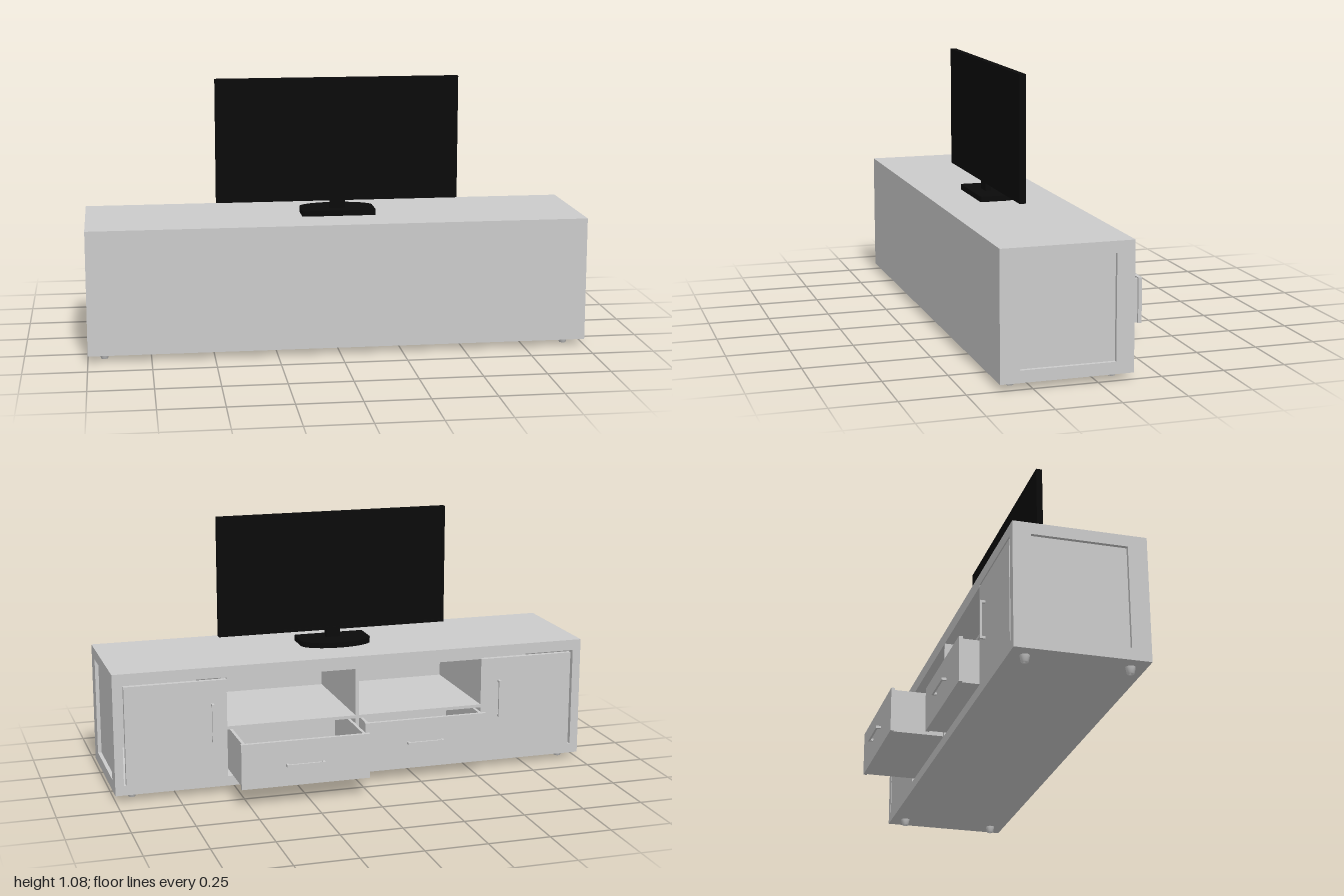
import * as THREE from 'three';

const wood = new THREE.MeshStandardMaterial({ color: 0xcccccc, side: THREE.DoubleSide });
const black = new THREE.MeshStandardMaterial({ color: 0x0a0a0a });

function add(parent, name, geometry, material = wood) {
  const mesh = new THREE.Mesh(geometry, material);
  mesh.name = name;
  parent.add(mesh);
  return mesh;
}

// Box given by its lower and upper corner
function box(parent, name, [x0, y0, z0], [x1, y1, z1], material = wood) {
  const mesh = add(parent, name, new THREE.BoxGeometry(x1 - x0, y1 - y0, z1 - z0), material);
  mesh.position.set((x0 + x1) / 2, (y0 + y1) / 2, (z0 + z1) / 2);
  return mesh;
}

// Flat rectangular frame in the xy plane, extruded along +z
function frame(a0, b0, a1, b1, hole, depth) {
  const rect = (P, x0, y0, x1, y1) => new P().moveTo(x0, y0).lineTo(x1, y0).lineTo(x1, y1).lineTo(x0, y1).closePath();
  const shape = rect(THREE.Shape, a0, b0, a1, b1);
  shape.holes.push(rect(THREE.Path, ...hole));
  return new THREE.ExtrudeGeometry(shape, { depth, bevelEnabled: false });
}

// Bar handle: two posts and a bar, standing out towards -z
function handle(name, length, vertical) {
  const g = new THREE.Group();
  g.name = name;
  const h = length / 2, r = 0.005;
  box(g, 'handleBar', [-h, -r, -0.02], [h, r, -0.012]);
  for (const s of [-1, 1]) {
    box(g, 'handlePost', [s * (h - r) - r, -r, -0.013], [s * (h - r) + r, r, 0]);
  }
  if (vertical) g.rotation.z = Math.PI / 2;
  return g;
}

// Open-topped drawer from x0 to x1 with its face at zFace
function drawer(name, x0, x1, zFace) {
  const g = new THREE.Group();
  g.name = name;
  const a = x0 + 0.01, b = x1 - 0.01, y0 = 0.075, y1 = 0.255, t = 0.012;
  const zi = zFace + 0.015, zb = zFace + 0.43;
  box(g, 'drawerFront', [x0, y0, zFace], [x1, 0.26, zi]);
  box(g, 'drawerBottom', [a, y0, zi], [b, y0 + t, zb]);
  box(g, 'drawerSide', [a, y0 + t, zi], [a + t, y1, zb]);
  box(g, 'drawerSide', [b - t, y0 + t, zi], [b, y1, zb]);
  box(g, 'drawerBack', [a + t, y0 + t, zb - t], [b - t, y1, zb]);
  const pull = handle('drawerHandle', 0.158, false);
  pull.position.set((x0 + x1) / 2 + 0.005, 0.162, zFace);
  g.add(pull);
  return g;
}

function createCabinet() {
  const g = new THREE.Group();
  g.name = 'cabinet';
  const zf = -0.14, zb = 0.375;
  // Carcass
  box(g, 'top', [-1, 0.48, zf], [1, 0.525, zb]);
  box(g, 'bottom', [-1, 0.025, zf], [1, 0.065, zb]);
  box(g, 'backPanel', [-0.98, 0.065, 0.36], [0.98, 0.48, zb]);
  for (const s of [-1, 1]) {
    // Framed sides with a recessed panel
    const side = add(g, 'sideFrame', frame(-zb, 0.065, -zf, 0.48, [-0.3, 0.072, 0.07, 0.479], 0.02));
    side.rotation.y = Math.PI / 2;
    side.position.x = s > 0 ? 0.98 : -1;
    const xs = [s * 0.965, s * 0.985].sort((p, q) => p - q);
    box(g, 'sidePanel', [xs[0], 0.065, zf], [xs[1], 0.48, zb - 0.01]);
    // Doors with a shadow gap at the top and the outer edge
    const inner = s > 0 ? 0.54 : -0.55;
    const xd = [inner, s * 0.955].sort((p, q) => p - q);
    box(g, 'door', [xd[0], 0.065, zf], [xd[1], 0.471, zf + 0.02]);
    const pull = handle('doorHandle', 0.158, true);
    pull.position.set(s > 0 ? 0.6 : -0.63, 0.297, zf);
    g.add(pull);
    // Partition behind the inner door edge
    const xp = [inner, inner + s * 0.02].sort((p, q) => p - q);
    box(g, 'partition', [xp[0], 0.065, zf + 0.02], [xp[1], 0.48, 0.36]);
  }
  // Middle bay
  box(g, 'topRail', [-0.55, 0.472, zf], [0.54, 0.48, 0.36]);
  box(g, 'divider', [-0.015, 0.065, zf], [0, 0.472, 0.36]);
  box(g, 'shelf', [-0.55, 0.262, zf], [-0.015, 0.275, 0.36]);
  box(g, 'shelf', [0, 0.262, zf], [0.54, 0.275, 0.36]);
  g.add(drawer('wideOpenDrawer', 0.005, 0.535, -0.355));
  g.add(drawer('halfOpenDrawer', -0.545, -0.018, -0.218));
  // Tapered feet, hollow underneath
  const profile = [[0, 0.012], [0.007, 0.012], [0.007, 0], [0.014, 0], [0.019, 0.025]]
    .map(([r, y]) => new THREE.Vector2(r, y));
  for (const x of [-0.935, 0.925]) {
    for (const z of [-0.08, 0.315]) {
      add(g, 'foot', new THREE.LatheGeometry(profile, 20)).position.set(x, 0, z);
    }
  }
  return g;
}

function createTelevision() {
  const g = new THREE.Group();
  g.name = 'television';
  // Slim body with a thin bezel round the screen
  box(g, 'screenBody', [-0.475, 0.58, 0.124], [0.51, 1.08, 0.145], black);
  const bezel = add(g, 'bezel', frame(-0.475, 0.58, 0.51, 1.08, [-0.463, 0.592, 0.498, 1.068], 0.004), black);
  bezel.position.z = 0.12;
  box(g, 'neck', [-0.012, 0.545, 0.12], [0.048, 0.585, 0.145], black);
  // Stand plate: straight on one side, a half oval on the other
  const w = 0.15, r = 0.012;
  const plate = new THREE.Shape();
  plate.moveTo(-w + r, -0.2).lineTo(w - r, -0.2).quadraticCurveTo(w, -0.2, w, -0.2 + r).lineTo(w, -0.09);
  plate.absellipse(0, -0.09, w, 0.075, 0, Math.PI, false);
  plate.lineTo(-w, -0.2 + r).quadraticCurveTo(-w, -0.2, -w + r, -0.2);
  const stand = add(g, 'stand', new THREE.ExtrudeGeometry(plate, { depth: 0.022, bevelEnabled: false, curveSegments: 24 }), black);
  stand.rotation.x = -Math.PI / 2;
  stand.position.set(0.018, 0.526, 0);
  return g;
}

export function createModel() {
  const model = new THREE.Group();
  model.name = 'televisionCabinet';
  model.add(createCabinet(), createTelevision());
  return model;
}
